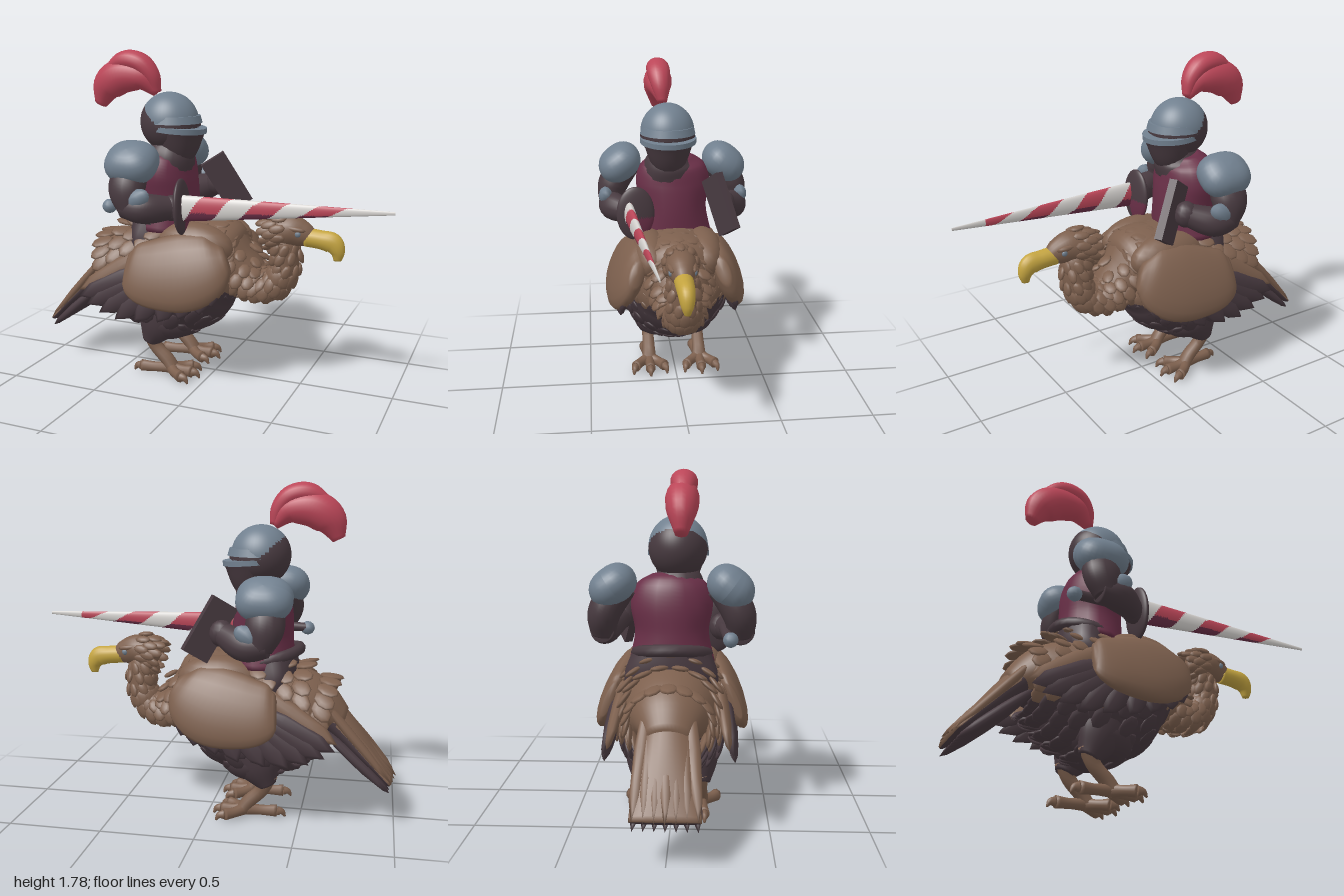
import * as THREE from 'three';
import { mergeGeometries } from 'three/addons/utils/BufferGeometryUtils.js';

const V = (x, y, z) => new THREE.Vector3(x, y, z);
const mat = (name, color) => {
  const m = new THREE.MeshStandardMaterial({ color });
  m.name = name;
  return m;
};
const brown = mat('brown feather', 0x7d604e), dark = mat('dark feather and iron', 0x483a40);
const maroon = mat('maroon cloth', 0x692f47), steel = mat('steel', 0x71808f);
const red = mat('red', 0xbb4658), white = mat('white', 0xd6d3d0), yellow = mat('beak yellow', 0xc4a440);

// Closed tube through rows of [x, y, z, in-plane radius, sideways radius]
function loft(rows, seg = 24, n = 18) {
  const path = new THREE.CatmullRomCurve3(rows.map(r => V(r[0], r[1], r[2])), false, 'catmullrom');
  const size = new THREE.CatmullRomCurve3(rows.map(r => V(r[3], r[4], 0)), false, 'catmullrom');
  const at = (u, phi) => {
    const t = path.getTangent(u), c = path.getPoint(u), s = size.getPoint(u);
    const side = V(0, 0, 1).addScaledVector(t, -t.z).normalize();
    const up = side.clone().cross(t);
    const n = up.clone().multiplyScalar(Math.cos(phi) * s.y).addScaledVector(side, Math.sin(phi) * s.x).normalize();
    return { p: c.addScaledVector(up, s.x * Math.cos(phi)).addScaledVector(side, s.y * Math.sin(phi)), n };
  };
  const pos = [], idx = [];
  for (let i = 0; i <= seg; i++) for (let j = 0; j < n; j++) pos.push(...at(i / seg, j / n * Math.PI * 2).p.toArray());
  for (let i = 0; i < seg; i++) for (let j = 0; j < n; j++) {
    const a = i * n + j, b = i * n + (j + 1) % n;
    idx.push(a, b, a + n, b, b + n, a + n);
  }
  const c0 = pos.length / 3, last = seg * n;
  pos.push(...path.getPoint(0).toArray(), ...path.getPoint(1).toArray());
  for (let j = 0; j < n; j++) {
    const k = (j + 1) % n;
    idx.push(c0, k, j, c0 + 1, last + j, last + k);
  }
  const g = new THREE.BufferGeometry();
  g.setAttribute('position', new THREE.Float32BufferAttribute(pos, 3));
  g.setIndex(idx);
  g.computeVertexNormals();
  g.userData.at = at;
  return g;
}

// Sort the faces into material groups by a rule on their centres that gives 0, 1 or 2
function split(g, rule) {
  const p = g.attributes.position, ix = g.index.array, sets = [[], [], []];
  for (let i = 0; i < ix.length; i += 3) {
    const f = [ix[i], ix[i + 1], ix[i + 2]], c = V(0, 0, 0);
    f.forEach(k => c.add(V(p.getX(k), p.getY(k), p.getZ(k)).divideScalar(3)));
    sets[Number(rule(c))].push(...f);
  }
  g.setIndex(sets.flat());
  g.clearGroups();
  let start = 0;
  sets.forEach((s, k) => {
    if (s.length) g.addGroup(start, s.length, k);
    start += s.length;
  });
  return g;
}

// One feather: a flat lens from p to q, facing n
function leaf(p, q, width, thick, n) {
  const x = q.clone().sub(p), len = x.length();
  x.normalize();
  const z = x.clone().cross(n).normalize(), y = z.clone().cross(x);
  const m = new THREE.Matrix4().makeBasis(x, y, z).scale(V(len / 2, thick, width));
  return new THREE.SphereGeometry(1, 8, 6).applyMatrix4(m.setPosition(p.clone().add(q).multiplyScalar(0.5)));
}

export function createModel() {
  const root = new THREE.Group();
  const bird = new THREE.Group(), rider = new THREE.Group();
  bird.name = 'bird';
  rider.name = 'rider';
  root.add(bird, rider);
  const add = (parent, name, g, m) => {
    const mesh = new THREE.Mesh(g, m);
    mesh.name = name;
    parent.add(mesh);
    return mesh;
  };
  const ball = (parent, name, m, c, r, w = 20, h = 14) => {
    const mesh = add(parent, name, new THREE.SphereGeometry(1, w, h).scale(...r), m);
    mesh.position.set(...c);
    return mesh;
  };
  // Rows of overlapping feathers over a loft
  const ruffle = (name, g, u0, u1, rows, around, len, width, flow, isDark) => {
    const sets = [[], []];
    for (let i = 0; i < rows; i++) for (let j = 0; j < around; j++) {
      const { p, n } = g.userData.at(u0 + (u1 - u0) * i / (rows - 1), (j + (i % 2) / 2) / around * Math.PI * 2);
      const d = flow.clone().addScaledVector(n, -flow.dot(n));
      if (d.length() < 0.15) continue;
      const q = p.clone().addScaledVector(d.normalize(), len).addScaledVector(n, 0.008);
      sets[isDark(p) ? 1 : 0].push(leaf(p, q, width, 0.014, n));
    }
    sets.forEach((s, k) => s.length && add(bird, name, mergeGeometries(s), k ? dark : brown));
  };

  // Bird body and feathers, brown breast reaching lower in the middle
  const lowBody = c => c.y < (c.x > 0 ? 0.46 + Math.abs(c.z) * 0.35 : 0.5);
  const body = loft([[-0.72, 0.54, 0, 0.06, 0.1], [-0.55, 0.6, 0, 0.18, 0.2], [-0.38, 0.58, 0, 0.3, 0.26],
    [-0.2, 0.56, 0, 0.34, 0.3], [-0.03, 0.65, 0, 0.27, 0.29], [0.09, 0.71, 0, 0.19, 0.22], [0.17, 0.71, 0, 0.08, 0.1]], 40, 36);
  add(bird, 'body', split(body, lowBody), [brown, dark]);
  ruffle('body feathers', body, 0.16, 0.95, 12, 22, 0.13, 0.045, V(-0.55, -0.8, 0), lowBody);

  // Neck, head and beak
  const neck = loft([[0.03, 0.7, 0, 0.19, 0.2], [0.15, 0.62, 0, 0.13, 0.15], [0.26, 0.56, 0, 0.09, 0.11],
    [0.36, 0.58, 0.01, 0.08, 0.09], [0.41, 0.68, 0.01, 0.07, 0.075], [0.4, 0.79, 0.015, 0.075, 0.075], [0.41, 0.86, 0.02, 0.04, 0.04]]);
  add(bird, 'neck', neck, brown);
  ruffle('neck feathers', neck, 0.12, 0.62, 7, 12, 0.09, 0.035, V(-0.4, -0.9, 0), () => false);
  ruffle('nape feathers', neck, 0.68, 0.95, 4, 9, 0.08, 0.026, V(-0.5, -0.9, 0), () => false);
  const head = loft([[0.31, 0.83, 0.015, 0.03, 0.03], [0.36, 0.85, 0.02, 0.08, 0.075], [0.43, 0.865, 0.025, 0.085, 0.08],
    [0.5, 0.85, 0.025, 0.07, 0.06], [0.55, 0.83, 0.025, 0.045, 0.04]]);
  add(bird, 'head', head, brown);
  ruffle('crest', head, 0.25, 0.5, 3, 10, 0.09, 0.025, V(-1, -0.25, 0), () => false);
  add(bird, 'beak', loft([[0.52, 0.835, 0.025, 0.05, 0.048], [0.6, 0.828, 0.025, 0.05, 0.046], [0.66, 0.815, 0.025, 0.055, 0.042],
    [0.688, 0.775, 0.025, 0.04, 0.034], [0.69, 0.725, 0.025, 0.02, 0.016]]), yellow);

  // Tail fan, brown above and dark below
  add(bird, 'tail', split(loft([[-0.48, 0.68, 0, 0.13, 0.15], [-0.68, 0.53, 0, 0.08, 0.13], [-0.84, 0.37, 0, 0.05, 0.155],
    [-0.97, 0.235, 0, 0.025, 0.165]], 24, 24), c => c.y < 0.54 + (c.x + 0.68) * 1.05), [brown, dark]);
  for (let i = -3; i <= 3; i++) {
    const up = V(-0.7, 0.7, 0);
    add(bird, 'tail feather', leaf(V(-0.52, 0.76, i * 0.03), V(-1.005 + Math.abs(i) * 0.008, 0.235, i * 0.05), 0.036, 0.025, up), brown);
    add(bird, 'under tail feather', leaf(V(-0.58, 0.53, i * 0.03), V(-0.97, 0.19, i * 0.05), 0.036, 0.028, up), dark);
  }

  for (const s of [1, -1]) {
    ball(bird, 'eye', steel, [0.49, 0.86, 0.025 + s * 0.06], [0.017, 0.017, 0.012], 10, 8);
    add(bird, 'brow', leaf(V(0.42, 0.89, 0.025 + s * 0.064), V(0.53, 0.877, 0.025 + s * 0.052), 0.016, 0.016, V(0, 1, 0)), brown);

    // Folded wing: sloping covert over long flight feathers
    const covert = loft([[0.16, 0.08, 0, 0.07, 0.035], [0.08, 0.045, 0, 0.17, 0.065], [-0.06, 0, 0, 0.21, 0.075],
      [-0.22, -0.02, 0, 0.19, 0.065], [-0.34, -0.015, 0, 0.15, 0.045], [-0.39, -0.01, 0, 0.09, 0.02]]);
    add(bird, 'wing covert', covert.rotateX(-s * 0.38).rotateY(s * 0.1).translate(0, 0.65, s * 0.275), brown);
    ball(bird, 'wing shoulder', brown, [-0.07, 0.76, s * 0.15], [0.23, 0.13, 0.11]);
    [[-0.69, 0.45], [-0.64, 0.41], [-0.56, 0.375], [-0.46, 0.35], [-0.34, 0.355], [-0.2, 0.37], [-0.08, 0.4], [0.04, 0.44], [0.11, 0.49]].forEach(([x, y], i) =>
      add(bird, 'flight feather', leaf(V(-0.14 + i * 0.02, 0.68, s * 0.27), V(x, y, s * (0.31 + Math.min(i, 9 - i) * 0.006)), 0.065, 0.03, V(0, 0, s)), dark));
    add(bird, 'scapular feather', leaf(V(-0.2, 0.78, s * 0.23), V(-0.7, 0.48, s * 0.29), 0.055, 0.03, V(0, 0.4, s)), brown);

    // Leg, toes and claws
    const z = s * 0.15;
    add(bird, 'thigh', loft([[-0.22, 0.45, z, 0.16, 0.1], [-0.28, 0.3, z, 0.12, 0.09], [-0.33, 0.19, z, 0.05, 0.05]]), dark);
    ball(bird, 'lower belly', dark, [-0.24, 0.32, s * 0.1], [0.17, 0.12, 0.14]);
    add(bird, 'shin', loft([[-0.33, 0.25, z, 0.055, 0.05], [-0.3, 0.16, z, 0.038, 0.036], [-0.23, 0.09, z, 0.038, 0.038], [-0.19, 0.035, z, 0.035, 0.045]], 12, 10), brown);
    [[-0.08, 0], [-0.11, 0.085], [-0.11, -0.085], [-0.38, 0.02]].forEach(([x, dz]) => {
      add(bird, 'toe', loft([[-0.21, 0.045, z, 0.035, 0.032], [(x - 0.21) / 2, 0.038, z + dz * 0.6, 0.028, 0.027], [x, 0.036, z + dz, 0.034, 0.029]], 10, 10), brown);
      const d = Math.sign(x + 0.2) * 0.045;
      add(bird, 'claw', loft([[x, 0.036, z + dz, 0.028, 0.023], [x + d * 0.6, 0.032, z + dz * 1.1, 0.018, 0.016], [x + d, 0.006, z + dz * 1.15, 0.005, 0.005]], 8, 8), brown);
    });
  }

  // Rider torso, skirt and saddle roll
  add(rider, 'skirt', loft([[-0.36, 0.68, 0, 0.06, 0.23], [-0.35, 0.77, 0, 0.12, 0.24], [-0.32, 0.88, 0, 0.15, 0.2]]), dark);
  add(rider, 'tabard', loft([[-0.28, 0.83, 0, 0.17, 0.22], [-0.275, 0.98, 0, 0.165, 0.19], [-0.28, 1.12, 0, 0.155, 0.21], [-0.27, 1.22, 0, 0.13, 0.18], [-0.26, 1.27, 0, 0.07, 0.1]]), maroon);
  const roll = add(rider, 'saddle roll', new THREE.TorusGeometry(0.18, 0.03, 8, 28).rotateX(Math.PI / 2), dark);
  roll.position.set(-0.3, 0.87, 0);
  roll.rotation.z = -0.25;
  add(rider, 'gorget', loft([[-0.26, 1.17, 0.02, 0.13, 0.16], [-0.25, 1.23, 0.03, 0.13, 0.135], [-0.24, 1.29, 0.03, 0.1, 0.1]]), dark);

  // Helmet with brow plate, brim and visor
  const dome = new THREE.SphereGeometry(1, 48, 40).scale(0.16, 0.16, 0.15).translate(-0.255, 1.405, 0.03);
  add(rider, 'helmet', split(dome, c => c.y < 1.385 + Math.max(0, -0.25 - c.x) * 0.9), [steel, dark]);
  add(rider, 'visor', loft([[-0.24, 1.22, 0.03, 0.1, 0.085], [-0.21, 1.29, 0.03, 0.12, 0.115], [-0.2, 1.37, 0.03, 0.145, 0.14]], 10, 24), dark);
  const brim = add(rider, 'visor brim', new THREE.CylinderGeometry(1, 1, 0.028, 32).scale(0.16, 1, 0.155), steel);
  brim.position.set(-0.21, 1.372, 0.03);
  brim.rotation.z = -0.08;
  add(rider, 'eye slit', new THREE.CylinderGeometry(1, 1, 0.02, 32).scale(0.152, 1, 0.152).translate(-0.238, 1.395, 0.03), dark);
  add(rider, 'brow plate', new THREE.CylinderGeometry(0.93, 1, 0.04, 32).scale(0.16, 1, 0.153).translate(-0.235, 1.422, 0.03), steel);

  // Plume of two curled feathers
  add(rider, 'lower plume', loft([[-0.32, 1.56, 0.05, 0.025, 0.025], [-0.4, 1.635, 0.06, 0.07, 0.065], [-0.52, 1.645, 0.06, 0.095, 0.08],
    [-0.61, 1.59, 0.06, 0.088, 0.07], [-0.66, 1.49, 0.06, 0.035, 0.03]]), red);
  add(rider, 'upper plume', loft([[-0.32, 1.56, 0.05, 0.025, 0.025], [-0.345, 1.65, 0.06, 0.045, 0.05], [-0.41, 1.715, 0.065, 0.055, 0.065],
    [-0.51, 1.725, 0.065, 0.052, 0.06], [-0.62, 1.665, 0.065, 0.02, 0.03]]), red);

  // Arms and broad shoulder plates
  for (const s of [1, -1]) {
    const x = s > 0 ? -0.35 : -0.32;
    const hand = s > 0 ? [-0.14, 0.98, 0.25] : [-0.1, 1.03, -0.27];
    add(rider, 'upper arm', loft([[x, 1.22, s * 0.25, 0.08, 0.08], [x - 0.01, 1.09, s * 0.335, 0.1, 0.085], [x + 0.02, 0.97, s * 0.35, 0.07, 0.065]]), dark);
    add(rider, 'forearm', loft([[x - 0.03, 0.99, s * 0.35, 0.06, 0.06], [x + 0.09, 0.985, s * 0.34, 0.08, 0.075], [...hand, 0.06, 0.055]]), dark);
    ball(rider, 'gauntlet', dark, hand, [0.065, 0.07, 0.06], 12, 8);
    ball(rider, 'elbow plate', steel, [x + 0.07, 1.04, s * 0.38], [0.075, 0.05, 0.04], 10, 8).rotation.z = 0.5;
    const dome = new THREE.SphereGeometry(1, 28, 16), p = dome.attributes.position;
    const square = v => Math.sign(v) * Math.pow(Math.abs(v), 0.82);
    for (let i = 0; i < p.count; i++) p.setXYZ(i, square(p.getX(i)) * 0.145, p.getY(i) * 0.1, square(p.getZ(i)) * 0.125);
    dome.computeVertexNormals();
    const plate = add(rider, 'shoulder plate', dome, steel);
    plate.position.set(x, 1.215, s * 0.295);
    plate.rotation.x = s * 0.65;
  }

  // Shield on the far arm, leaning back
  const shield = add(rider, 'shield', new THREE.BoxGeometry(0.15, 0.32, 0.045), dark);
  shield.position.set(-0.03, 1.045, -0.24);
  shield.rotation.set(0, 0.5, 0.55);

  // Lance with spiral stripes, darker underneath
  const lance = new THREE.Group();
  lance.name = 'lance';
  lance.position.set(-0.08, 0.985, 0.255);
  lance.rotation.set(0, 0.07, 0.042, 'YZX');
  rider.add(lance);
  const L = 1.083;
  const shaft = new THREE.CylinderGeometry(0.008, 0.07, L, 32, 120).rotateZ(-Math.PI / 2).translate(L / 2, 0, 0);
  const stripe = c => ((c.x - 0.06) / 0.3 - Math.atan2(c.y, c.z) / (Math.PI * 2) + 2) % 1 < 0.5 && c.x < 0.9;
  split(shaft, c => !stripe(c) ? 1 : c.y < -0.02 ? 2 : 0).scale(1, 1, 0.42);
  add(lance, 'lance shaft', shaft, [red, white, maroon]);

  // Hand guard with a maroon lower corner, grip and pommel
  const guard = new THREE.SphereGeometry(1, 48, 32).scale(0.03, 0.15, 0.105);
  split(guard, c => c.x > 0 && c.y < -0.02 && c.z < 0.03 + (c.y + 0.02) * 0.2);
  add(lance, 'hand guard', guard, [dark, maroon]).position.set(-0.02, 0, -0.035);
  add(lance, 'lance grip', new THREE.CylinderGeometry(0.025, 0.03, 0.4, 12).rotateZ(Math.PI / 2).translate(-0.2, 0.01, 0), dark);
  ball(lance, 'pommel', steel, [-0.41, 0.005, 0.01], [0.04, 0.038, 0.038], 12, 8);
  return root;
}
